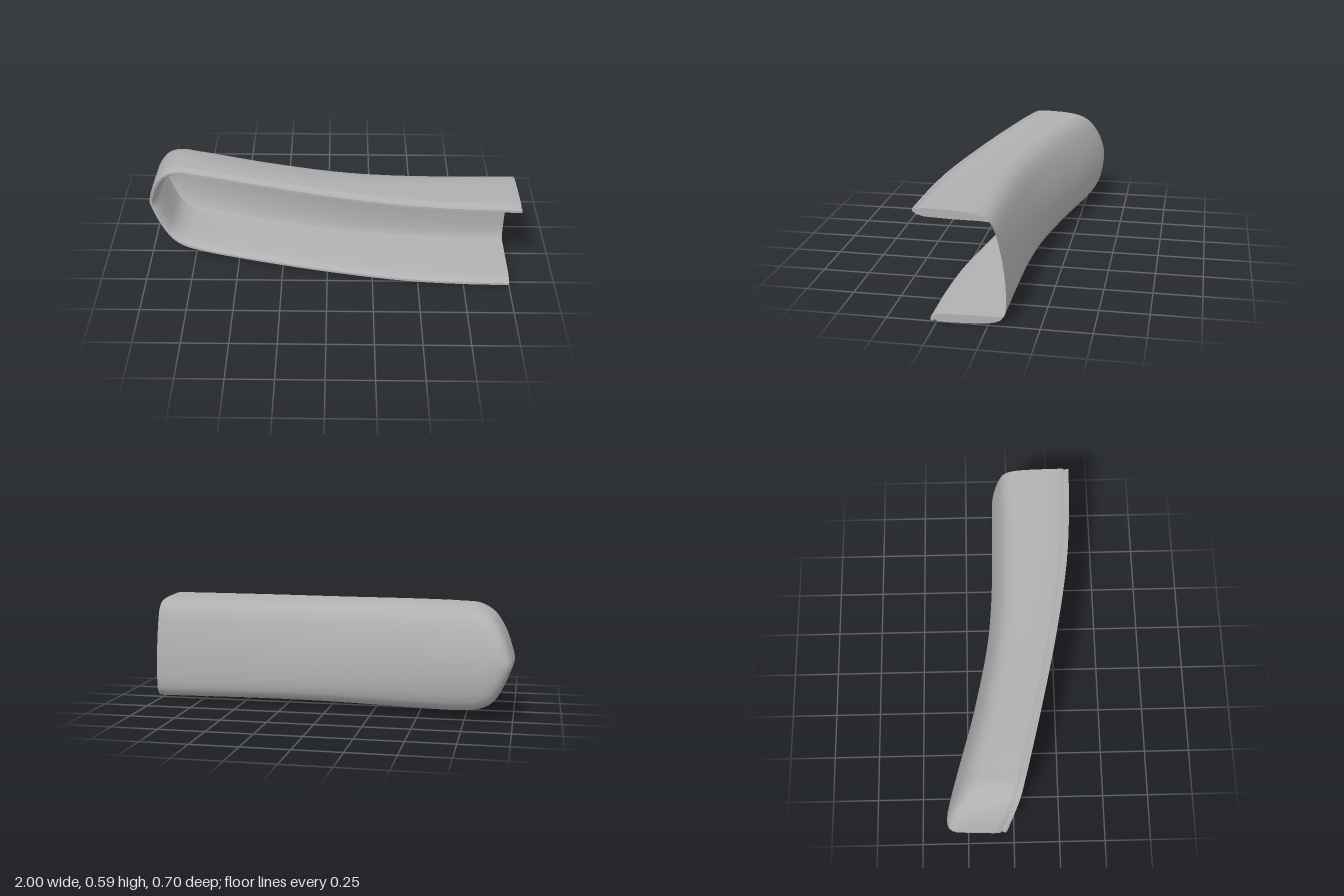
import * as THREE from 'three';
import { toCreasedNormals } from 'three/addons/utils/BufferGeometryUtils.js';

// Smooth interpolation through [x, value] pairs sorted by x
function smooth(table) {
  const slope = (i) => {
    const a = table[Math.max(i - 1, 0)], b = table[Math.min(i + 1, table.length - 1)];
    return (b[1] - a[1]) / (b[0] - a[0]);
  };
  return (x) => {
    let i = 0;
    while (i < table.length - 2 && x > table[i + 1][0]) i++;
    const [x0, y0] = table[i], [x1, y1] = table[i + 1];
    const h = x1 - x0, t = THREE.MathUtils.clamp((x - x0) / h, 0, 1);
    return y0 * (1 + 2 * t) * (1 - t) ** 2 + y1 * t * t * (3 - 2 * t)
      + h * t * (1 - t) * (slope(i) * (1 - t) - slope(i + 1) * t);
  };
}

// Depth of the front rim and of the back panel along the length
const frontZ = smooth([[-1, -0.04], [-0.95, -0.005], [-0.88, 0.03], [-0.8, 0.055], [-0.4, 0.155],
  [0, 0.245], [0.4, 0.315], [0.7, 0.342], [1, 0.352]]);
const backZ = smooth([[-1, -0.36], [-0.9, -0.353], [-0.8, -0.332], [-0.6, -0.28], [-0.4, -0.225],
  [-0.2, -0.18], [0, -0.14], [0.2, -0.113], [0.5, -0.095], [1, -0.088]]);

// Outline seen from the front: bottom edge, round end, top edge
const outline = new THREE.CatmullRomCurve3([
  [1, 0], [0.5, 0.006], [0, 0.012], [-0.5, 0.02], [-0.72, 0.03], [-0.83, 0.05], [-0.9, 0.095],
  [-0.95, 0.175], [-0.982, 0.25], [-1, 0.31], [-0.985, 0.37], [-0.95, 0.46], [-0.89, 0.545],
  [-0.81, 0.587], [-0.7, 0.593], [-0.5, 0.592], [0, 0.581], [0.5, 0.575], [1, 0.573],
].map(([x, y]) => new THREE.Vector3(x, y, 0)));

// Wall profile: [inset, share of depth from back to front, extra depth]
const lining = [[0.05, 0, 0.01], [0.047, 0.15, 0], [0.046, 0.5, 0], [0.041, 0.85, 0], [0.032, 1, -0.02]];
const rim = [[0.018, 1, 0], [0.005, 1, 0], [0.002, 1, -0.012], [0.009, 1, -0.02], [0.009, 1, -0.025], [0.001, 1, -0.034]];
const wall = [[0, 0.8, 0], [0.002, 0.6, 0], [0.005, 0.4, 0], [0.008, 0, 0.1], [0.015, 0, 0.06],
  [0.022, 0, 0.04], [0.03, 0, 0.025]];
const corner = [[0.05, 0, 0.01], [0.07, 0, 0.003], [0.11, 0, 0]];
const profile = [...lining, ...rim, ...wall, ...corner];
const capCount = lining.length + rim.length + wall.length;
const PANEL = 6, ROWS = 110;

// One cross-section of the shell, from the lining round the rim to the panel's middle
function section(P) {
  const centre = new THREE.Vector3(Math.max(P.x, -0.72), 0.31, 0);
  const inward = centre.clone().sub(P), reach = inward.length();
  inward.normalize();
  const end = Math.abs(inward.x);
  const low = THREE.MathUtils.clamp((0.31 - P.y) / 0.2, 0, 1);
  const front = frontZ(P.x) - low * (0.05 + 0.02 * P.x);
  const points = [...profile];
  for (let i = 1; i <= PANEL; i++) points.push([0.11 + (reach - 0.11) * i / PANEL, 0, 0]);
  return points.map(([inset, share, extra]) => {
    const p = P.clone().addScaledVector(inward, inset);
    const f = (1 - p.x) / 1.9;
    const back = backZ(p.x) + (0.4 + 0.6 * f) * (p.y - 0.12 - 0.13 * f) ** 2;
    const e = share === 0 ? extra * (1 - 0.4 * end) : extra;
    p.z = back + share * (front - back) + e;
    return p;
  });
}

function geometryFrom(points, index) {
  const g = new THREE.BufferGeometry().setFromPoints(points);
  g.setIndex(index);
  return g;
}

export function createModel() {
  const group = new THREE.Group();
  group.name = 'curvedCover';
  const grey = new THREE.MeshStandardMaterial({ color: 0xb0b0b0, side: THREE.DoubleSide });
  grey.name = 'grey';

  const rows = [];
  for (let i = 0; i <= ROWS; i++) rows.push(section(outline.getPoint(i / ROWS)));

  // Shell with its rolled rim and inner lining
  const n = rows[0].length, index = [];
  for (let i = 0; i < ROWS; i++) {
    for (let j = 0; j < n - 1; j++) {
      const a = i * n + j, b = a + n;
      index.push(a, b, a + 1, b, b + 1, a + 1);
    }
  }
  const shell = new THREE.Mesh(toCreasedNormals(geometryFrom(rows.flat(), index), 0.75), grey);
  shell.name = 'shell';
  group.add(shell);

  // Flat caps closing the hollow edges at the cut end
  for (const [name, row] of [['lowerEdgeCap', rows[0]], ['upperEdgeCap', rows[ROWS]]]) {
    const ring = row.slice(0, capCount);
    const flat = ring.map((p) => new THREE.Vector2(-p.z, p.y));
    const faces = THREE.ShapeUtils.triangulateShape(flat, []).flat();
    const geometry = geometryFrom(ring, faces);
    geometry.computeVertexNormals();
    const cap = new THREE.Mesh(geometry, grey);
    cap.name = name;
    group.add(cap);
  }
  return group;
}
